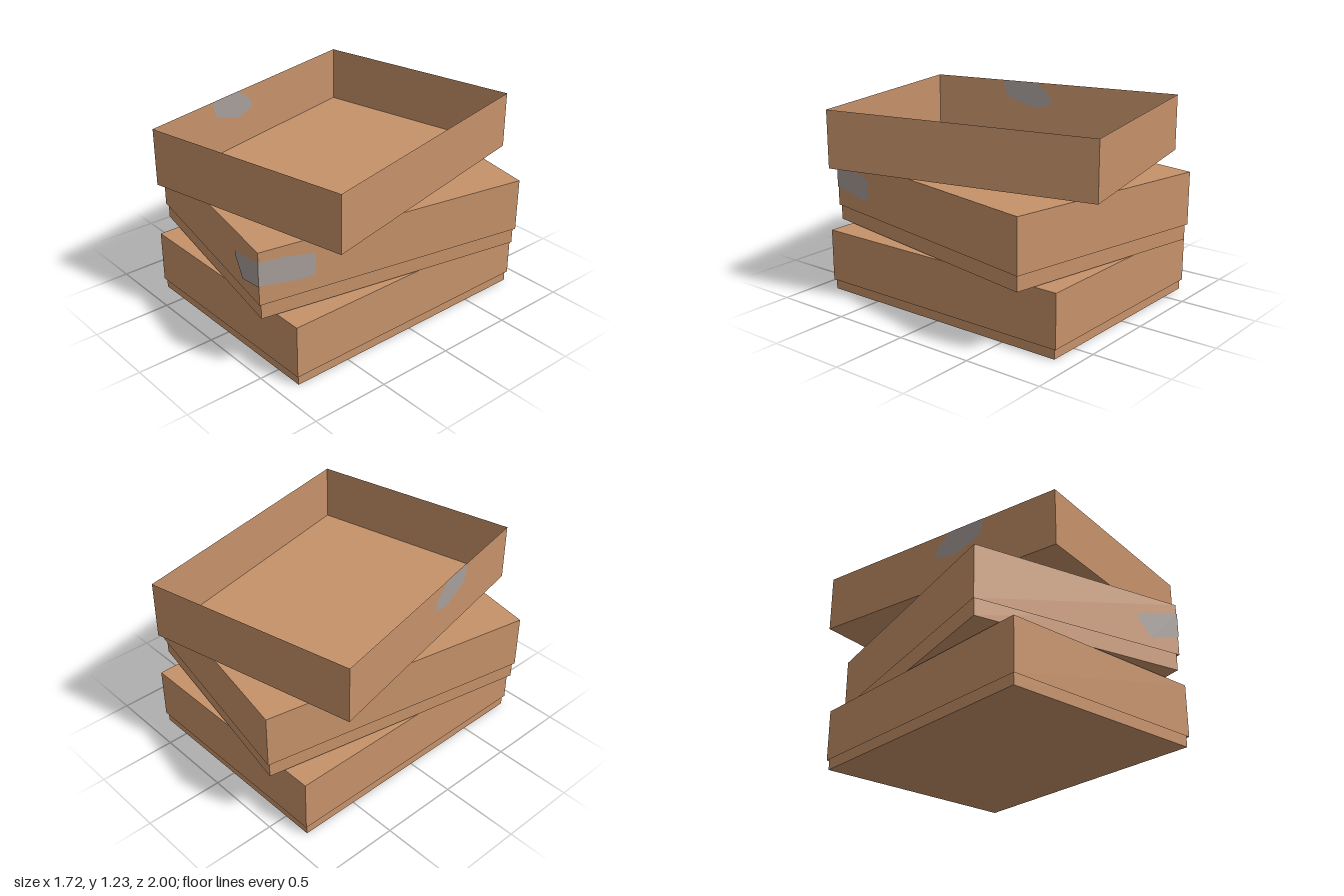
import * as THREE from 'three';

const cardboard = new THREE.MeshStandardMaterial({ color: 0xc6926a, side: THREE.DoubleSide, flatShading: true });
cardboard.name = 'cardboard';
const tape = new THREE.MeshStandardMaterial({ color: 0xa69e9a, side: THREE.DoubleSide, flatShading: true });
tape.name = 'grey tape';

const LID = { w: 1.396, h: 0.335, l: 1.768 };
const BASE = { w: 1.376, h: 0.362, l: 1.742 };
const SKIN = 0.003; // how far tape stands off the card

// Thin-walled box with one side left out (2 = top, 3 = bottom)
function openBox(name, { w, h, l }, bottomY, missingSide) {
  const geometry = new THREE.BoxGeometry(w, h, l);
  const index = Array.from(geometry.index.array);
  index.splice(missingSide * 6, 6);
  geometry.setIndex(index);
  geometry.clearGroups();
  const mesh = new THREE.Mesh(geometry, cardboard);
  mesh.name = name;
  mesh.position.y = bottomY + h / 2;
  return mesh;
}

// Flat piece of tape outlined in (along wall, height) coordinates
function tapePatch(name, outline, x, z, turn) {
  const shape = new THREE.Shape(outline.map(([u, v]) => new THREE.Vector2(u, v)));
  const mesh = new THREE.Mesh(new THREE.ShapeGeometry(shape), tape);
  mesh.name = name;
  mesh.position.set(x, 0, z);
  mesh.rotation.y = turn;
  return mesh;
}

// Base with a lid pulled down over it
function closedBox(name, bottomY, lidY) {
  const box = new THREE.Group();
  box.name = name;
  box.add(openBox(name + 'Base', BASE, bottomY, 2), openBox(name + 'Lid', LID, lidY, 3));
  return box;
}

export function createModel() {
  const model = new THREE.Group();
  model.name = 'stackedBoxes';

  // Bottom box, square to the front
  model.add(closedBox('bottomBox', 0, 0.063));

  // Middle box, turned one way, with tape folded around its front left corner
  const middle = closedBox('middleBox', 0.408, 0.505);
  middle.rotation.y = -0.19;
  const fromCorner = (points, sign, edge) => points.map(([s, y]) => [sign * (edge - s), y]);
  const frontTape = [[-SKIN, 0.78], [0.293, 0.708], [0.302, 0.688], [0.208, 0.57], [-SKIN, 0.625]];
  const sideTape = [[-SKIN, 0.78], [0.165, 0.775], [0.355, 0.738], [0.35, 0.605], [0.263, 0.6], [-SKIN, 0.632]];
  middle.add(
    tapePatch('frontTape', fromCorner(frontTape, 1, LID.w / 2), 0, LID.l / 2 + SKIN, 0),
    tapePatch('sideTape', fromCorner(sideTape, -1, LID.l / 2), LID.w / 2 + SKIN, 0, Math.PI / 2));
  model.add(middle);

  // Top tray, open and turned the other way, taped over the rim of one wall
  const top = new THREE.Group();
  top.name = 'topTray';
  top.rotation.y = 0.218;
  top.add(openBox('tray', BASE, 0.868, 2));
  const rimTape = [[0.12, 1.229], [0.36, 1.229], [0.36, 1.2], [0.335, 1.12], [0.13, 1.052], [0, 1.09], [0.02, 1.15]];
  for (const [name, offset] of [['outerRimTape', -SKIN], ['innerRimTape', SKIN]])
    top.add(tapePatch(name, rimTape, -BASE.w / 2 + offset, 0, -Math.PI / 2));
  model.add(top);

  return model;
}
